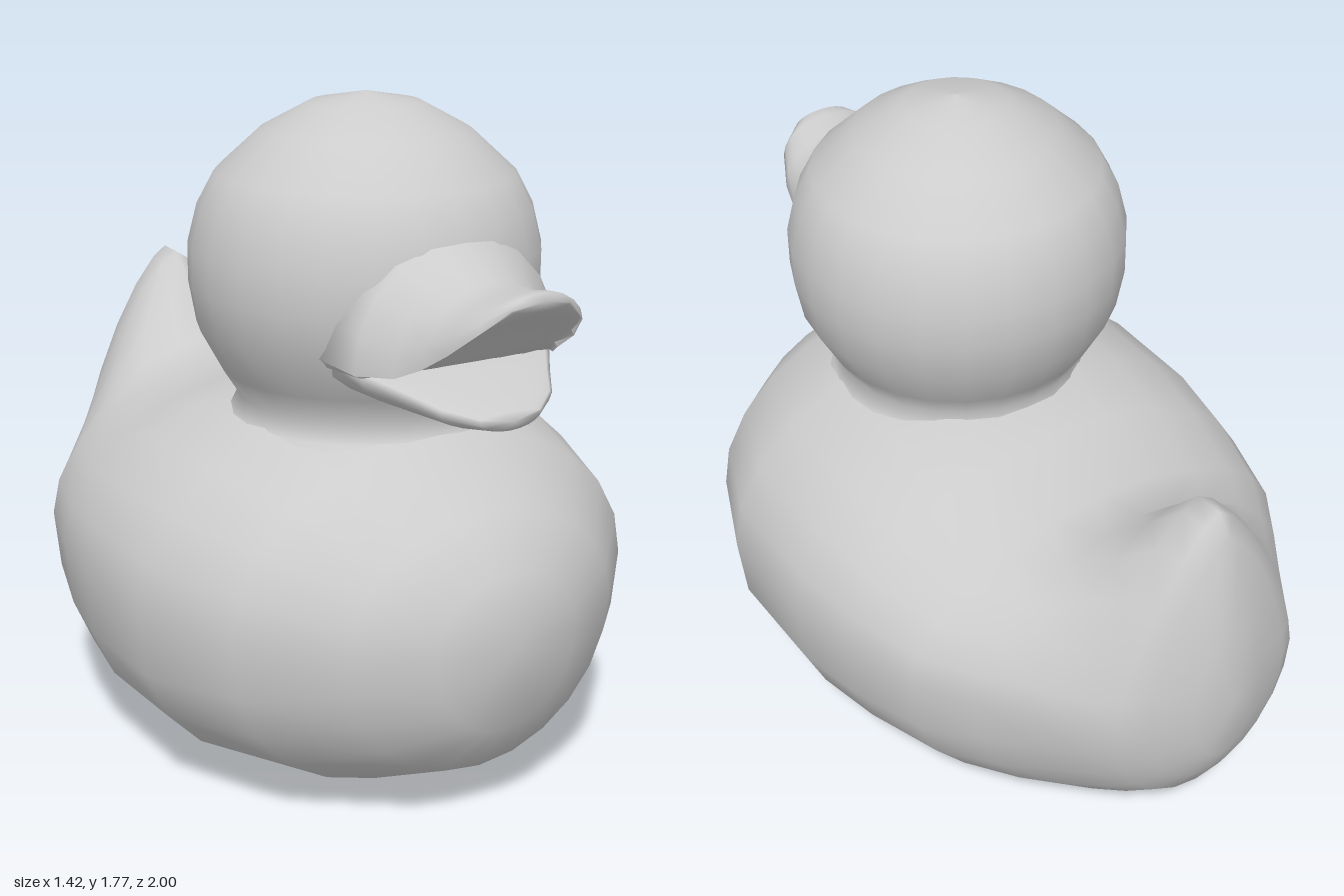
import * as THREE from 'three';
import { mergeVertices } from 'three/addons/utils/BufferGeometryUtils.js';

// Half of a super-ellipse: keeps the sign, squares the curve as p grows
const curve = (v, p) => Math.sign(v) * Math.pow(Math.abs(v), 2 / p);

// Skin over sections listed front to back:
// [z, half width, y of the side edge, top y, bottom y, top power, bottom power]
function loft(sections, sides) {
  const positions = [], index = [];
  sections.forEach(([z, w, mid, top, bottom, pTop = 2, pBottom = 2], i) => {
    for (let j = 0; j < sides; j++) {
      const a = (j / sides) * Math.PI * 2;
      const c = Math.cos(a), s = Math.sin(a);
      const p = s >= 0 ? pTop : pBottom;
      const reach = s >= 0 ? top - mid : bottom - mid;
      positions.push(curve(c, p) * w, mid + reach * Math.abs(curve(s, p)), z);
      if (i < sections.length - 1) {
        const k = (j + 1) % sides;
        const p0 = i * sides + j, p1 = i * sides + k;
        const q0 = p0 + sides, q1 = p1 + sides;
        index.push(p0, q0, p1, p1, q0, q1);
      }
    }
  });
  let geometry = new THREE.BufferGeometry();
  geometry.setAttribute('position', new THREE.Float32BufferAttribute(positions, 3));
  geometry.setIndex(index);
  geometry = mergeVertices(geometry, 1e-4);
  geometry.computeVertexNormals();
  return geometry;
}

export function createModel() {
  const duck = new THREE.Group();
  duck.name = 'bathDuck';
  const rubber = new THREE.MeshStandardMaterial({ color: 0xcccccc });
  rubber.name = 'grey rubber';

  const add = (name, geometry) => {
    const mesh = new THREE.Mesh(geometry, rubber);
    mesh.name = name;
    duck.add(mesh);
    return mesh;
  };

  // Plump body sweeping up into a pointed tail
  add('bodyAndTail', loft([
    [0.935, 0, 0.51, 0.51, 0.51],
    [0.90, 0.21, 0.51, 0.69, 0.28],
    [0.80, 0.40, 0.52, 0.82, 0.14],
    [0.60, 0.60, 0.53, 0.96, 0.05, 2, 2.3],
    [0.32, 0.71, 0.54, 1.02, 0.015, 2, 2.5],
    [0.0, 0.705, 0.54, 1.01, 0.0, 2, 2.5],
    [-0.2, 0.67, 0.54, 0.95, 0.01, 2.1, 2.4],
    [-0.43, 0.60, 0.55, 0.91, 0.03, 2, 2.3],
    [-0.58, 0.50, 0.56, 0.945, 0.06, 1.8, 2.2],
    [-0.70, 0.415, 0.57, 1.06, 0.10, 1.5, 2],
    [-0.80, 0.345, 0.58, 1.165, 0.17, 1.35, 2],
    [-0.88, 0.285, 0.60, 1.17, 0.24, 1.35, 2],
    [-0.925, 0.22, 0.62, 1.12, 0.32, 1.4, 2],
    [-0.97, 0.10, 0.63, 0.85, 0.42],
    [-1.0, 0, 0.63, 0.63, 0.63],
  ], 24));

  // Round head with a flared neck
  const profile = [
    [0.42, 0.88], [0.355, 0.95], [0.33, 1.0], [0.375, 1.07], [0.435, 1.18],
    [0.455, 1.29], [0.455, 1.39], [0.43, 1.49], [0.385, 1.575], [0.27, 1.68],
    [0.14, 1.75], [0, 1.775],
  ].map(([r, y]) => new THREE.Vector2(r, y));
  add('head', new THREE.LatheGeometry(profile, 24)).position.z = 0.25;

  // Arched upper bill, hollow below, with an upturned tip
  add('upperBill', loft([
    [1.0, 0, 1.385, 1.385, 1.385],
    [0.985, 0.085, 1.37, 1.402, 1.36],
    [0.95, 0.15, 1.315, 1.40, 1.335],
    [0.88, 0.185, 1.255, 1.388, 1.30],
    [0.80, 0.20, 1.205, 1.388, 1.25],
    [0.74, 0.235, 1.175, 1.425, 1.20],
    [0.67, 0.30, 1.175, 1.475, 1.15],
    [0.54, 0.32, 1.19, 1.52, 1.12],
    [0.40, 0, 1.3, 1.3, 1.3],
  ], 20));

  // Shallow lower bill
  add('lowerBill', loft([
    [0.90, 0, 1.075, 1.075, 1.075],
    [0.885, 0.09, 1.085, 1.095, 1.05],
    [0.83, 0.165, 1.105, 1.12, 1.045],
    [0.75, 0.22, 1.135, 1.15, 1.05],
    [0.67, 0.28, 1.165, 1.18, 1.06],
    [0.54, 0.30, 1.18, 1.20, 1.06],
    [0.40, 0, 1.15, 1.15, 1.15],
  ], 20));

  return duck;
}
